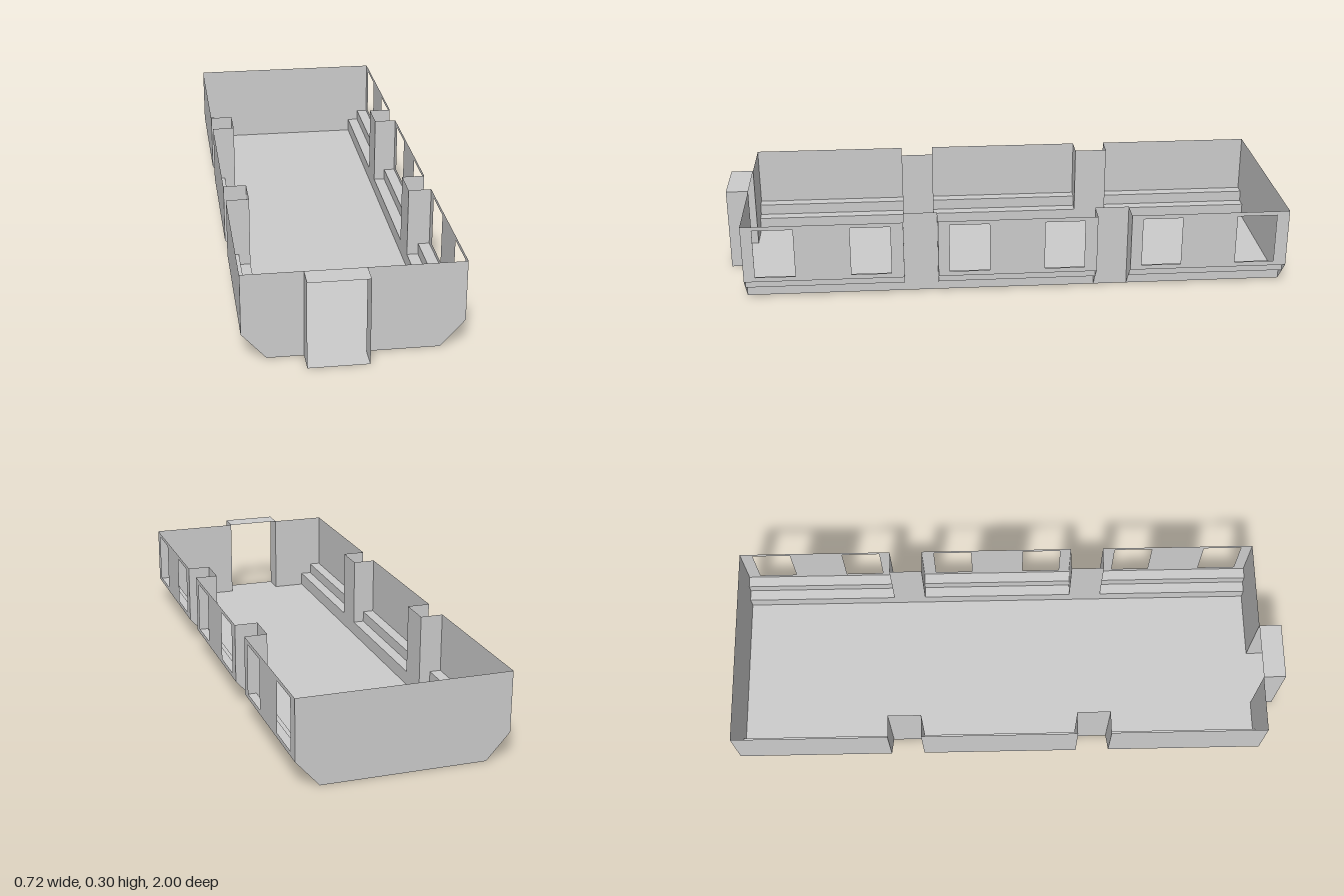
import * as THREE from 'three';

const material = new THREE.MeshStandardMaterial({ color: 0xcccccc, side: THREE.DoubleSide, flatShading: true });

const HALF_FLOOR = 0.28, HALF_STEP = 0.32, HALF_WIDTH = 0.36;
const STEP_Y = 0.05, WALL_Y = 0.09, TOP = 0.3;
const FRONT = 0.92, BACK = -1, PORCH = 1;
const PORCH_X0 = -0.16, PORCH_X1 = 0.04;
const BAY_LENGTH = 0.56, BAY_STARTS = [0.92, 0.24, -0.44];

const toPoints = (list) => list.map(([a, b]) => new THREE.Vector2(a, b));
const rect = (a0, b0, a1, b1) => [[a0, b0], [a1, b0], [a1, b1], [a0, b1]];

// Thin flat sheet from an outline, with optional holes
function sheet(name, outline, holes = []) {
  const shape = new THREE.Shape(toPoints(outline));
  shape.holes = holes.map((h) => new THREE.Path(toPoints(h)));
  const mesh = new THREE.Mesh(new THREE.ShapeGeometry(shape), material);
  mesh.name = name;
  return mesh;
}

// Sheet facing along z; outline is (x, y)
function across(name, z, outline) {
  const mesh = sheet(name, outline);
  mesh.position.z = z;
  return mesh;
}

// Sheet facing along x; outline is (z, y)
function along(name, x, outline, holes) {
  const mesh = sheet(name, outline, holes);
  mesh.rotation.y = -Math.PI / 2;
  mesh.position.x = x;
  return mesh;
}

// Horizontal sheet; outline is (x, z)
function level(name, y, outline) {
  const mesh = sheet(name, outline);
  mesh.rotation.x = Math.PI / 2;
  mesh.position.y = y;
  return mesh;
}

// One long side: three stepped bays separated by two recesses
function createSide(side, hasWindows) {
  const group = new THREE.Group();
  group.name = side > 0 ? 'leftSide' : 'rightSide';
  const inner = side * HALF_FLOOR, step = side * HALF_STEP, outer = side * HALF_WIDTH;
  const endOutline = [[inner, 0], [outer, WALL_Y], [outer, TOP], [inner, TOP]];

  BAY_STARTS.forEach((z0, i) => {
    const z1 = z0 - BAY_LENGTH;
    const windows = hasWindows
      ? [0.04, 0.375].map((d) => rect(z0 - d - 0.14, 0.107, z0 - d, 0.285))
      : [];
    group.add(
      along('lowerRiser', inner, rect(z1, 0, z0, STEP_Y)),
      level('lowerLedge', STEP_Y, rect(inner, z1, step, z0)),
      along('upperRiser', step, rect(z1, STEP_Y, z0, WALL_Y)),
      level('upperLedge', WALL_Y, rect(step, z1, outer, z0)),
      along('sideWall', outer, rect(z1, WALL_Y, z0, TOP), windows),
    );
    // Recess between this bay and the next
    if (i < BAY_STARTS.length - 1) {
      const z2 = BAY_STARTS[i + 1];
      group.add(
        across('recessFrontWall', z1, endOutline),
        across('recessBackWall', z2, endOutline),
        along('recessInnerWall', inner, rect(z2, 0, z1, TOP)),
      );
    }
  });
  return group;
}

export function createModel() {
  const model = new THREE.Group();
  model.name = 'openHull';

  model.add(level('floor', 0, rect(-HALF_FLOOR, BACK, HALF_FLOOR, FRONT)));
  model.add(createSide(1, true), createSide(-1, false));

  // End walls, the front one split by the doorway
  model.add(across('backWall', BACK, [
    [-HALF_FLOOR, 0], [HALF_FLOOR, 0], [HALF_WIDTH, WALL_Y],
    [HALF_WIDTH, TOP], [-HALF_WIDTH, TOP], [-HALF_WIDTH, WALL_Y],
  ]));
  for (const [side, doorX] of [[-1, PORCH_X0], [1, PORCH_X1]]) {
    model.add(across('frontWall', FRONT, [
      [doorX, 0], [side * HALF_FLOOR, 0], [side * HALF_WIDTH, WALL_Y],
      [side * HALF_WIDTH, TOP], [doorX, TOP],
    ]));
  }

  // Open porch around the doorway
  const porch = new THREE.Group();
  porch.name = 'porch';
  porch.add(
    level('porchFloor', 0, rect(PORCH_X0, FRONT, PORCH_X1, PORCH)),
    level('porchRoof', TOP, rect(PORCH_X0, FRONT, PORCH_X1, PORCH)),
    along('porchWall', PORCH_X0, rect(FRONT, 0, PORCH, TOP)),
    along('porchWall', PORCH_X1, rect(FRONT, 0, PORCH, TOP)),
  );
  model.add(porch);
  return model;
}
